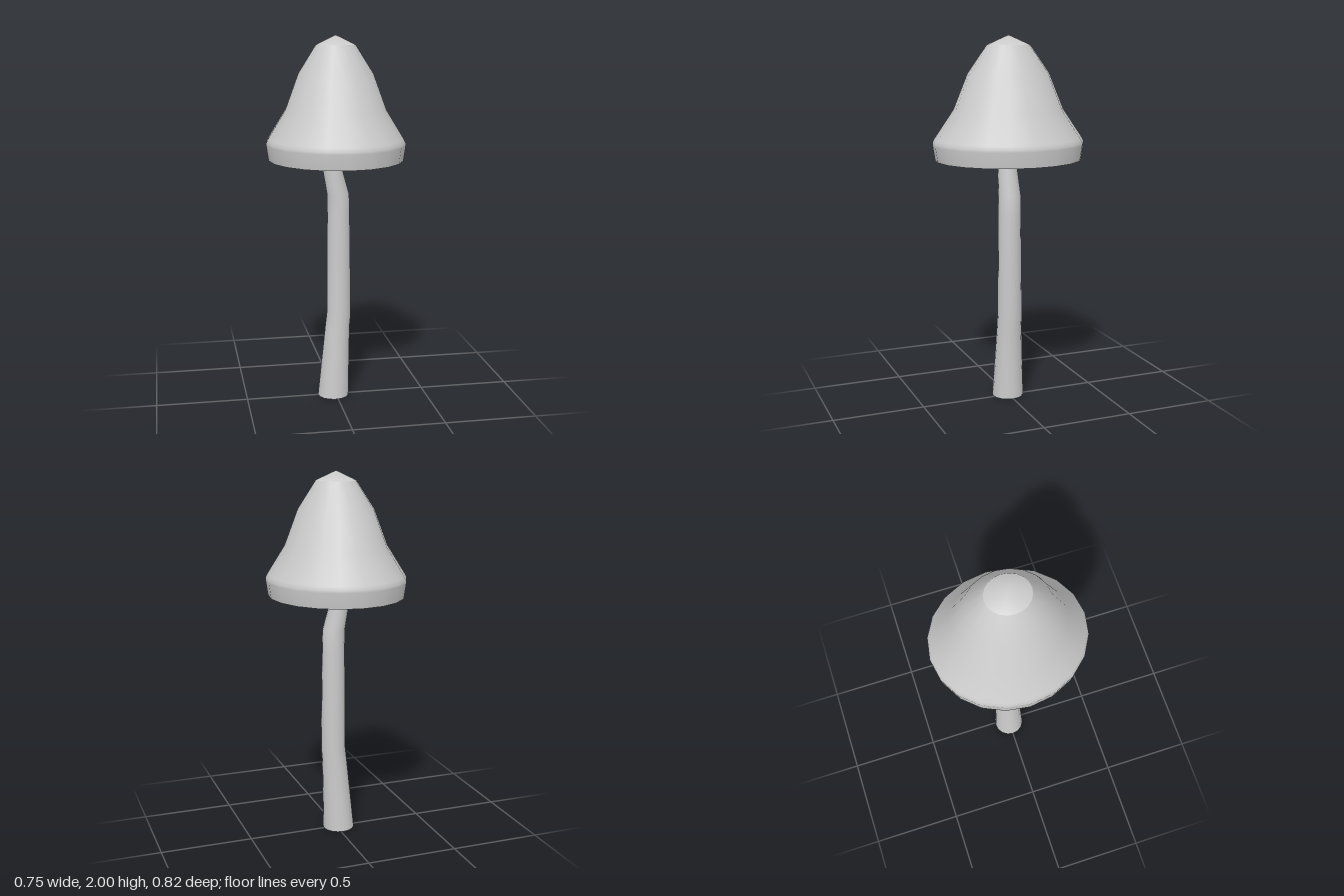
import * as THREE from 'three';
import { toCreasedNormals } from 'three/addons/utils/BufferGeometryUtils.js';

const material = new THREE.MeshStandardMaterial({ color: 0xcccccc });

// Turned geometry from [radius, y] pairs
function turned(profile, sides) {
  return new THREE.LatheGeometry(profile.map(([r, y]) => new THREE.Vector2(r, y)), sides);
}

function addPart(group, name, geometry) {
  const mesh = new THREE.Mesh(toCreasedNormals(geometry, Math.PI / 3), material);
  mesh.name = name;
  group.add(mesh);
}

export function createModel() {
  const model = new THREE.Group();
  model.name = 'mushroom';

  // Cap: oval bell with a softened rim, low conical tip and hollowed underside
  const cap = new THREE.Group();
  cap.name = 'cap';
  const capProfiles = {
    capBell: [[0.362, 1.342], [0.374, 1.425], [0.374, 1.437], [0.364, 1.457], [0.27, 1.61], [0.2, 1.8], [0.105, 1.95]],
    capTip: [[0.105, 1.95], [0, 2]],
    capUnderside: [[0, 1.445], [0.362, 1.342]],
  };
  for (const [name, profile] of Object.entries(capProfiles)) {
    addPart(cap, name, turned(profile, 20).scale(1, 1, 1.1));
  }
  model.add(cap);

  // Stem: tapered rings [y, radius, centre x] following a gentle bend
  const rings = [
    [0, 0.087, -0.014],
    [0.4, 0.069, 0.01],
    [0.48, 0.068, 0.018],
    [1.03, 0.062, 0.016],
    [1.15, 0.061, 0.014],
    [1.36, 0.05, -0.033],
    [1.46, 0.05, -0.037],
  ];
  const stem = turned([[0, 0], ...rings.map(([y, r]) => [r, y])], 16);
  const pos = stem.attributes.position;
  for (let i = 0; i < pos.count; i++) {
    const ring = rings.find(([y]) => Math.abs(y - pos.getY(i)) < 1e-4);
    pos.setX(i, pos.getX(i) + ring[2]);
  }
  addPart(model, 'stem', stem);

  return model;
}
